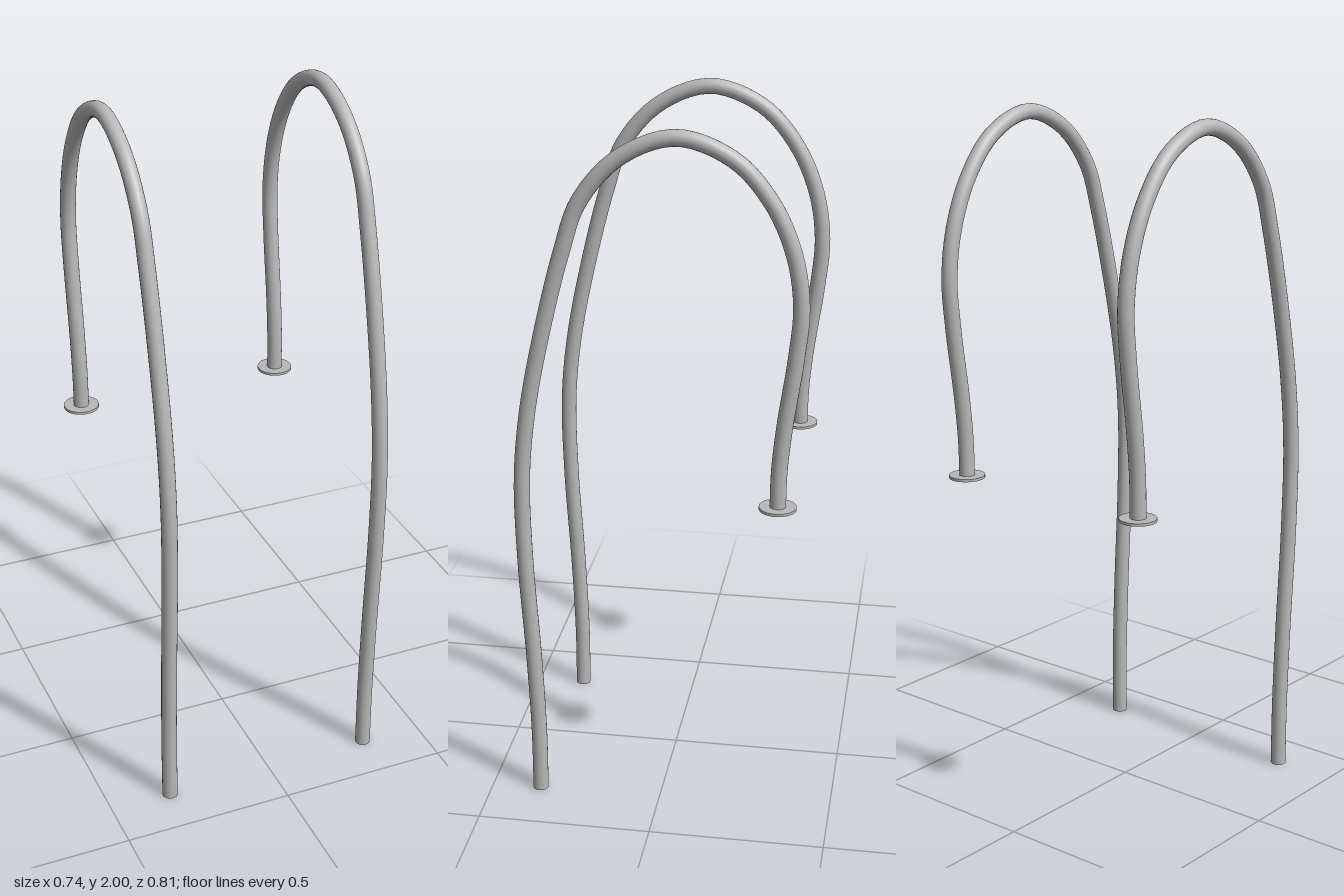
import * as THREE from 'three';

export function createModel() {
  const steel = new THREE.MeshStandardMaterial({ color: 0xb8b8b8, side: THREE.DoubleSide });
  steel.name = 'steel grey';

  // Centreline of one rail as [z, y], from the foot over the arch to the flange
  const path = [
    [0.357, 0], [0.357, 0.2], [0.366, 0.45], [0.382, 0.75], [0.384, 1.0],
    [0.363, 1.2], [0.319, 1.42], [0.257, 1.66], [0.207, 1.8], [0.1, 1.92],
    [-0.05, 1.977], [-0.2, 1.925], [-0.3, 1.815], [-0.36, 1.68],
    [-0.382, 1.54], [-0.372, 1.4], [-0.345, 1.2], [-0.333, 1.07], [-0.331, 0.96],
  ];
  const curve = new THREE.CatmullRomCurve3(path.map(([z, y]) => new THREE.Vector3(0, y, z)));
  const tube = new THREE.TubeGeometry(curve, 120, 0.0225, 20, false);
  const plate = new THREE.CylinderGeometry(0.052, 0.052, 0.008, 40);

  const model = new THREE.Group();
  model.name = 'handrails';
  for (const [side, x] of [['left', 0.317], ['right', -0.317]]) {
    const rail = new THREE.Group();
    rail.name = side + 'Handrail';
    rail.position.x = x;

    // Bent open-ended pipe
    const pipe = new THREE.Mesh(tube, steel);
    pipe.name = side + 'Pipe';

    // Round mounting flange under the short end
    const flange = new THREE.Mesh(plate, steel);
    flange.name = side + 'Flange';
    flange.position.set(0, 0.961, -0.331);

    rail.add(pipe, flange);
    model.add(rail);
  }
  return model;
}
